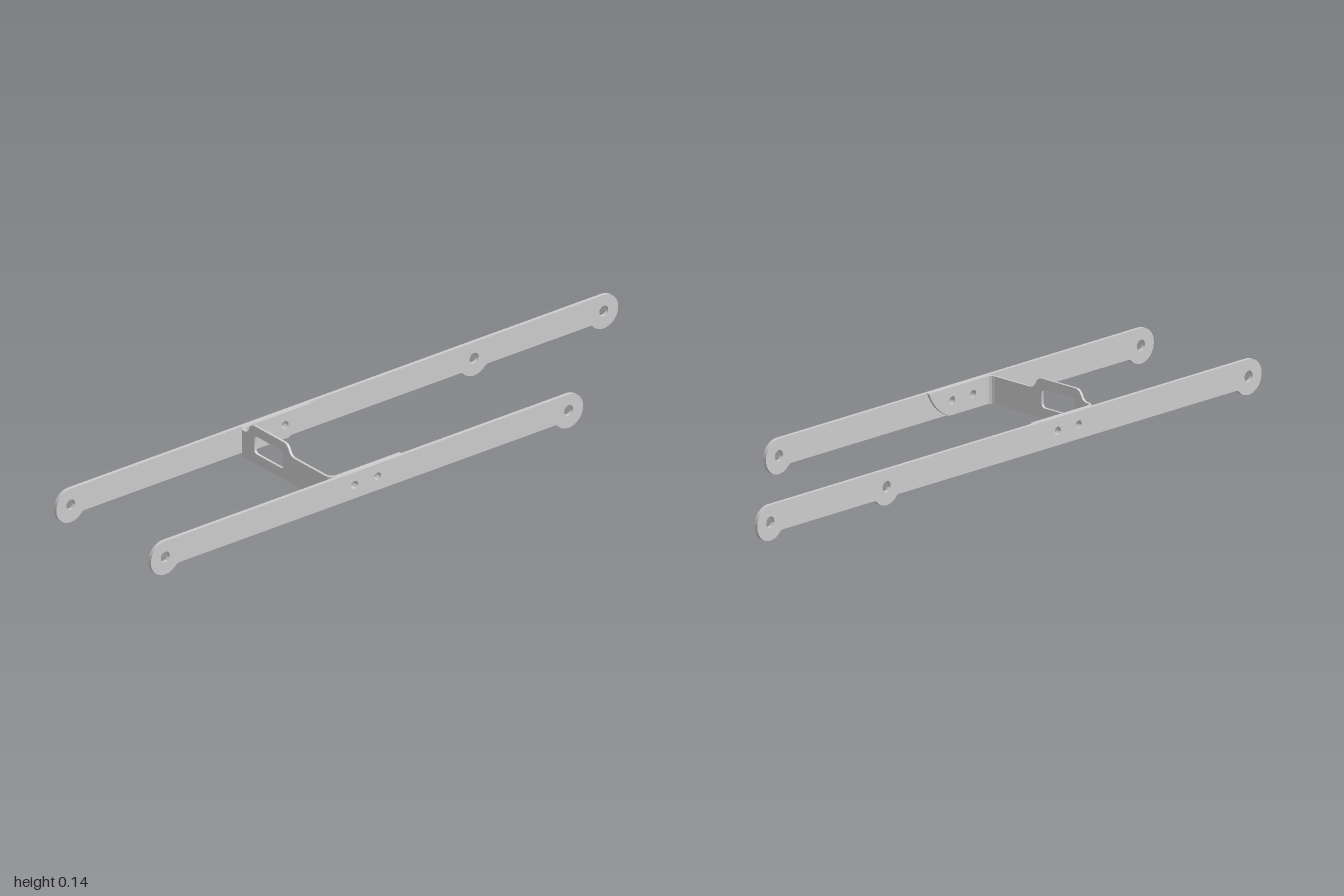
import * as THREE from 'three';
import { toCreasedNormals } from 'three/addons/utils/BufferGeometryUtils.js';

const material = new THREE.MeshStandardMaterial({ color: 0xcccccc });
const TOP = 0.103, BOTTOM = 0.022;      // straight edges of the bars and bracket
const BAR_IN = 0.202, BAR_T = 0.011;    // inner face and thickness of the bars
const SHEET = 0.008, BEND = 0.026;      // bracket sheet thickness and outer bend radius
const FRONT = 0.352;                    // front face of the bracket
const BOLTS = [0.275, 0.192];           // bolt holes along z

function extrude(shape, depth) {
  const g = new THREE.ExtrudeGeometry(shape, { depth, bevelEnabled: false, curveSegments: 16 });
  return toCreasedNormals(g, 0.5);
}

function addMesh(parent, name, geometry) {
  const mesh = new THREE.Mesh(geometry, material);
  mesh.name = name;
  parent.add(mesh);
}

function addHole(shape, x, y, r) {
  const path = new THREE.Path();
  path.absarc(x, y, r, 0, Math.PI * 2, true);
  shape.holes.push(path);
}

// Shape drawn in (z, y), given thickness along x from xMin
function sidePlate(shape, xMin, thickness) {
  return extrude(shape, thickness).rotateY(-Math.PI / 2).translate(xMin + thickness, 0, 0);
}

// Bar with round eyes hanging below the straight edge; eyes listed from back to front
function barShape(eyes) {
  const r = TOP / 2, f = 0.015;
  const dy = r - BOTTOM + f, dx = Math.sqrt((r + f) ** 2 - dy ** 2), a = Math.atan2(dy, dx);
  const s = new THREE.Shape();
  s.moveTo(eyes[eyes.length - 1], TOP);
  eyes.forEach((c, i) => {
    const first = i === 0, last = i === eyes.length - 1;
    if (!first) s.absarc(c - dx, BOTTOM - f, f, Math.PI / 2, a, true);
    s.absarc(c, r, r, first ? Math.PI / 2 : Math.PI + a, last ? Math.PI * 2.5 : Math.PI * 2 - a, false);
    if (!last) s.absarc(c + dx, BOTTOM - f, f, Math.PI - a, Math.PI / 2, true);
    addHole(s, c, r + 0.002, 0.016);
  });
  BOLTS.forEach(z => addHole(s, z, 0.064, 0.012));
  return s;
}

// Cross plate with a raised tab and a rounded window
function crossPlateShape() {
  const w = BAR_IN - BEND;
  const s = new THREE.Shape();
  s.moveTo(-w, BOTTOM);
  s.lineTo(w, BOTTOM);
  s.lineTo(w, TOP);
  s.lineTo(0.047, TOP);
  s.quadraticCurveTo(0.028, TOP, 0.021, 0.117);
  s.bezierCurveTo(0.015, 0.13, 0.008, 0.136, -0.004, 0.136);
  s.lineTo(-0.131, 0.136);
  s.bezierCurveTo(-0.143, 0.136, -0.15, 0.13, -0.156, 0.117);
  s.quadraticCurveTo(-0.162, TOP, -w, TOP);
  s.closePath();
  const [x0, x1, y0, y1, r] = [-0.132, -0.003, 0.052, 0.107, 0.011];
  const p = new THREE.Path();
  p.absarc(x0 + r, y0 + r, r, Math.PI, Math.PI * 1.5, false);
  p.absarc(x1 - r, y0 + r, r, Math.PI * 1.5, Math.PI * 2, false);
  p.absarc(x1 - r, y1 - r, r, 0, Math.PI / 2, false);
  p.absarc(x0 + r, y1 - r, r, Math.PI / 2, Math.PI, false);
  p.closePath();
  s.holes.push(p);
  return s;
}

// Side flange with a slanted, slightly bowed rear edge
function flangeShape() {
  const s = new THREE.Shape();
  s.moveTo(FRONT - BEND, BOTTOM);
  s.lineTo(FRONT - BEND, TOP);
  s.lineTo(0.1, TOP);
  s.quadraticCurveTo(0.125, 0.045, 0.18, BOTTOM);
  s.closePath();
  BOLTS.forEach(z => addHole(s, z, 0.064, 0.012));
  return s;
}

// Quarter bend joining the cross plate to a flange
function bendGeometry(side) {
  const s = new THREE.Shape();
  const from = side > 0 ? -Math.PI / 2 : Math.PI;
  s.absarc(0, 0, BEND, from, from + Math.PI / 2, false);
  s.absarc(0, 0, BEND - SHEET, from + Math.PI / 2, from, true);
  s.closePath();
  return extrude(s, TOP - BOTTOM).rotateX(-Math.PI / 2)
    .translate(side * (BAR_IN - BEND), BOTTOM, FRONT - BEND);
}

export function createModel() {
  const model = new THREE.Group();
  model.name = 'linkFrame';

  // Long right bar with three eyes, shorter left bar with two
  addMesh(model, 'rightBar', sidePlate(barShape([-0.9485, -0.487, 0.9485]), -BAR_IN - BAR_T, BAR_T));
  addMesh(model, 'leftBar', sidePlate(barShape([-0.487, 0.9485]), BAR_IN, BAR_T));

  // Bent sheet bracket between the bars
  const bracket = new THREE.Group();
  bracket.name = 'bracket';
  addMesh(bracket, 'crossPlate', extrude(crossPlateShape(), SHEET).translate(0, 0, FRONT - SHEET));
  for (const side of [-1, 1]) {
    const label = side > 0 ? 'left' : 'right';
    addMesh(bracket, label + 'Bend', bendGeometry(side));
    addMesh(bracket, label + 'Flange', sidePlate(flangeShape(), side > 0 ? BAR_IN - SHEET : -BAR_IN, SHEET));
  }
  model.add(bracket);
  return model;
}
